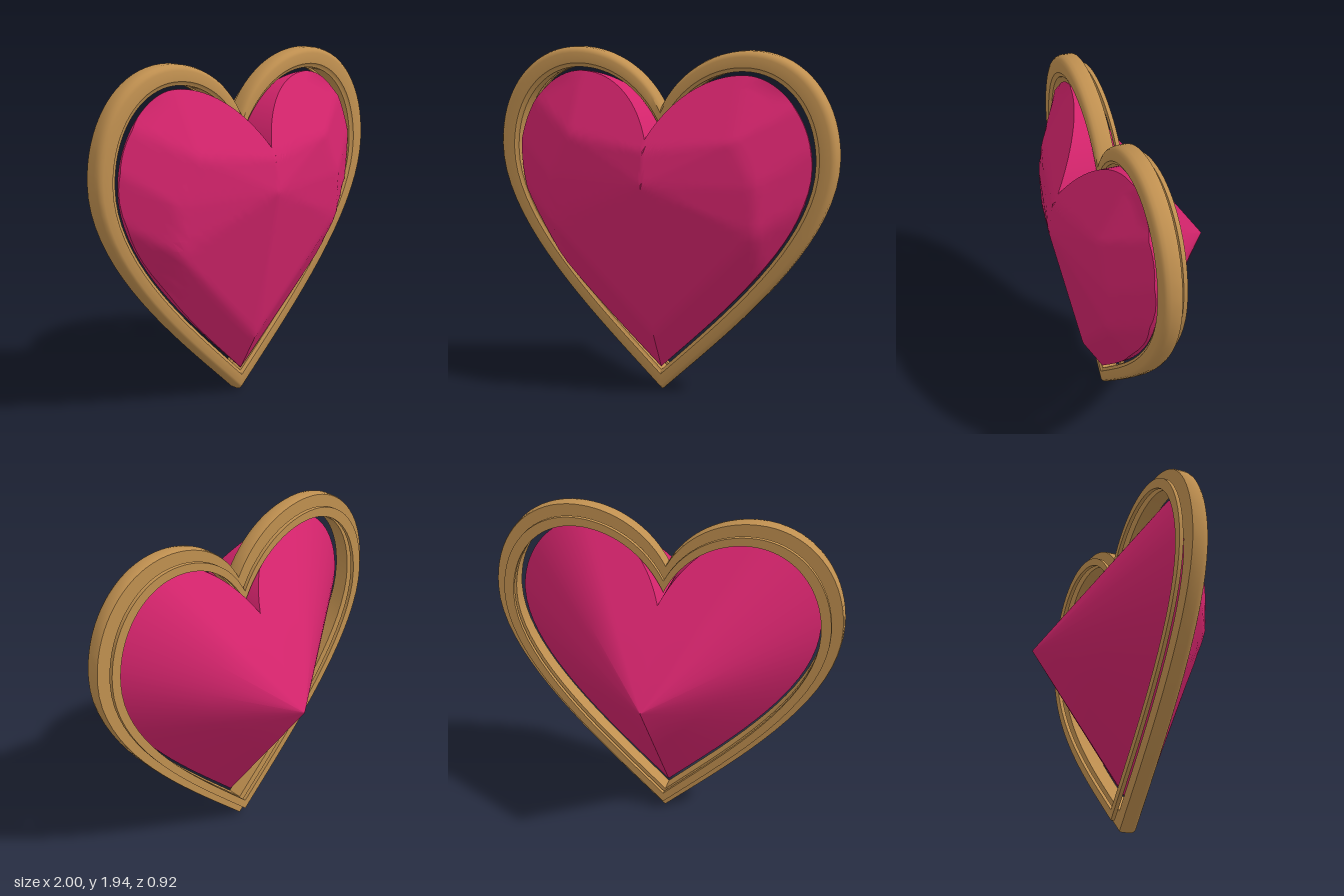
import * as THREE from 'three';
import { toCreasedNormals } from 'three/addons/utils/BufferGeometryUtils.js';

const V2 = (x, y) => new THREE.Vector2(x, y);

// Heart outline, clockwise seen from the front, starting at the notch
function heart({ notch, top, wide, wideY, bottom, lobeX, shoulder = 0.58 }, steps = 18) {
  const w = wide, h = top - wideY;
  const curves = [
    [V2(0, notch), V2(lobeX * 0.2, notch + (top - notch) * 0.62), V2(lobeX * 0.58, top), V2(lobeX, top)],
    [V2(lobeX, top), V2(lobeX + (w - lobeX) * shoulder, top), V2(w, wideY + h * shoulder), V2(w, wideY)],
    [V2(w, wideY), V2(w, wideY - 0.34 * (wideY - bottom)), V2(w * 0.42, bottom + 0.29 * (wideY - bottom)), V2(0, bottom)],
  ].map((p) => new THREE.CubicBezierCurve(...p));
  const half = [];
  for (const c of curves) half.push(...c.getPoints(steps).slice(0, steps));
  const mirrored = half.slice(1).reverse().map((p) => V2(-p.x, p.y));
  return [...half, V2(0, bottom), ...mirrored];
}

// Skin a list of cross-section loops that all have the same number of points
function loft(rows, closed, crease) {
  const n = rows[0].length, pos = [], idx = [];
  rows.forEach((row) => row.forEach((p) => pos.push(p.x, p.y, p.z)));
  for (let j = 0; j < rows.length - (closed ? 0 : 1); j++) {
    const k = (j + 1) % rows.length;
    for (let i = 0; i < n; i++) {
      const m = (i + 1) % n;
      const a = j * n + i, b = j * n + m, c = k * n + i, d = k * n + m;
      idx.push(a, c, b, b, c, d);
    }
  }
  const g = new THREE.BufferGeometry();
  g.setAttribute('position', new THREE.Float32BufferAttribute(pos, 3));
  g.setIndex(idx);
  return toCreasedNormals(g, crease);
}

// Heart-shaped band: profile points are [0 outer .. 1 inner, z]
function band(outer, inner, profile) {
  const rows = profile.map(([u, z]) => outer.map((p, i) => {
    const q = p.clone().lerp(inner[i], u);
    return new THREE.Vector3(q.x, q.y, z);
  }));
  return loft(rows, true, 0.6);
}

// Crown facets of one half, each a plane through three points
const P0 = [0, 1.23, 0.46], T0 = [0, 1.41, 0.43], T1 = [0.48, 1.47, 0.345];
const S1 = [0.6, 1.23, 0.335], S2 = [0.6, 0.97, 0.325], B = [0, 0.36, 0.28];
const facets = [
  [P0, T0, T1], [P0, T1, S1], [P0, S1, S2], [P0, S2, B],
  [T0, T1, [0.48, 1.81, 0.16]],
  [T1, [0.48, 1.81, 0.16], [0.77, 1.65, 0.16]],
  [T1, S1, [0.84, 1.5, 0.16]],
  [S1, S2, [0.865, 1.3, 0.16]],
  [S2, [0.78, 1.0, 0.16], [0.68, 0.82, 0.16]],
  [S2, B, [0.5, 0.58, 0.16]],
].map((f) => new THREE.Plane().setFromCoplanarPoints(...f.map((p) => new THREE.Vector3(...p))));

function crownZ(x, y) {
  const ax = Math.abs(x);
  return Math.min(...facets.map(({ normal: n, constant: k }) => -(n.x * ax + n.y * y + k) / n.z));
}

// Cut stone: faceted crown in front, pointed pavilion behind, notch cut straight through
function gemGeometry() {
  const cy = 0.99, top = 1.81, lobeX = 0.48;
  const outline = heart({ notch: 1.47, top, wide: 0.865, wideY: 1.33, bottom: 0.14, lobeX, shoulder: 0.53 });
  const at = (p, s) => V2(p.x * s, cy + (p.y - cy) * s);
  const backZ = (p, s) => {
    const inNotch = Math.abs(p.x) < lobeX && p.y > cy;
    return -0.455 + 0.605 * s * (inNotch ? (p.y - cy) / (top - cy) : 1);
  };
  const rows = [], rings = 24;
  for (const s of [0, 0.5, 1]) {
    rows.push(outline.map((p) => {
      const q = at(p, s);
      return new THREE.Vector3(q.x, q.y, backZ(p, s));
    }));
  }
  for (let r = rings; r >= 0; r--) {
    const s = r / rings;
    rows.push(outline.map((p) => {
      const q = at(p, s);
      return new THREE.Vector3(q.x, q.y, Math.max(crownZ(q.x, q.y), 0.152));
    }));
  }
  return loft(rows, false, 0.5);
}

export function createModel() {
  const gold = new THREE.MeshStandardMaterial({ color: 0xc09050 });
  gold.name = 'gold';
  const pink = new THREE.MeshStandardMaterial({ color: 0xd4246c });
  pink.name = 'pink';

  const group = new THREE.Group();
  group.name = 'heartGem';
  const add = (name, geometry, material) => {
    const mesh = new THREE.Mesh(geometry, material);
    mesh.name = name;
    group.add(mesh);
  };

  const outer = heart({ notch: 1.63, top: 1.94, wide: 1, wideY: 1.37, bottom: 0, lobeX: 0.51 });
  const hole = heart({ notch: 1.49, top: 1.83, wide: 0.885, wideY: 1.35, bottom: 0.12, lobeX: 0.485 });
  const ringOuter = heart({ notch: 1.56, top: 1.88, wide: 0.94, wideY: 1.36, bottom: 0.06, lobeX: 0.5 });

  // Frame with a rounded front edge and a small inner lip
  add('frame', band(outer, hole, [
    [0.03, 0.07], [0, 0.08], [0, 0.13], [0.05, 0.15], [0.14, 0.163], [0.28, 0.17],
    [0.8, 0.17], [0.87, 0.162], [1, 0.158], [1, 0.07],
  ]), gold);

  // Thin ring floating behind the frame
  add('backRing', band(ringOuter, hole, [[0, 0.02], [0, 0.042], [1, 0.042], [1, 0.02]]), gold);

  add('gem', gemGeometry(), pink);
  return group;
}
